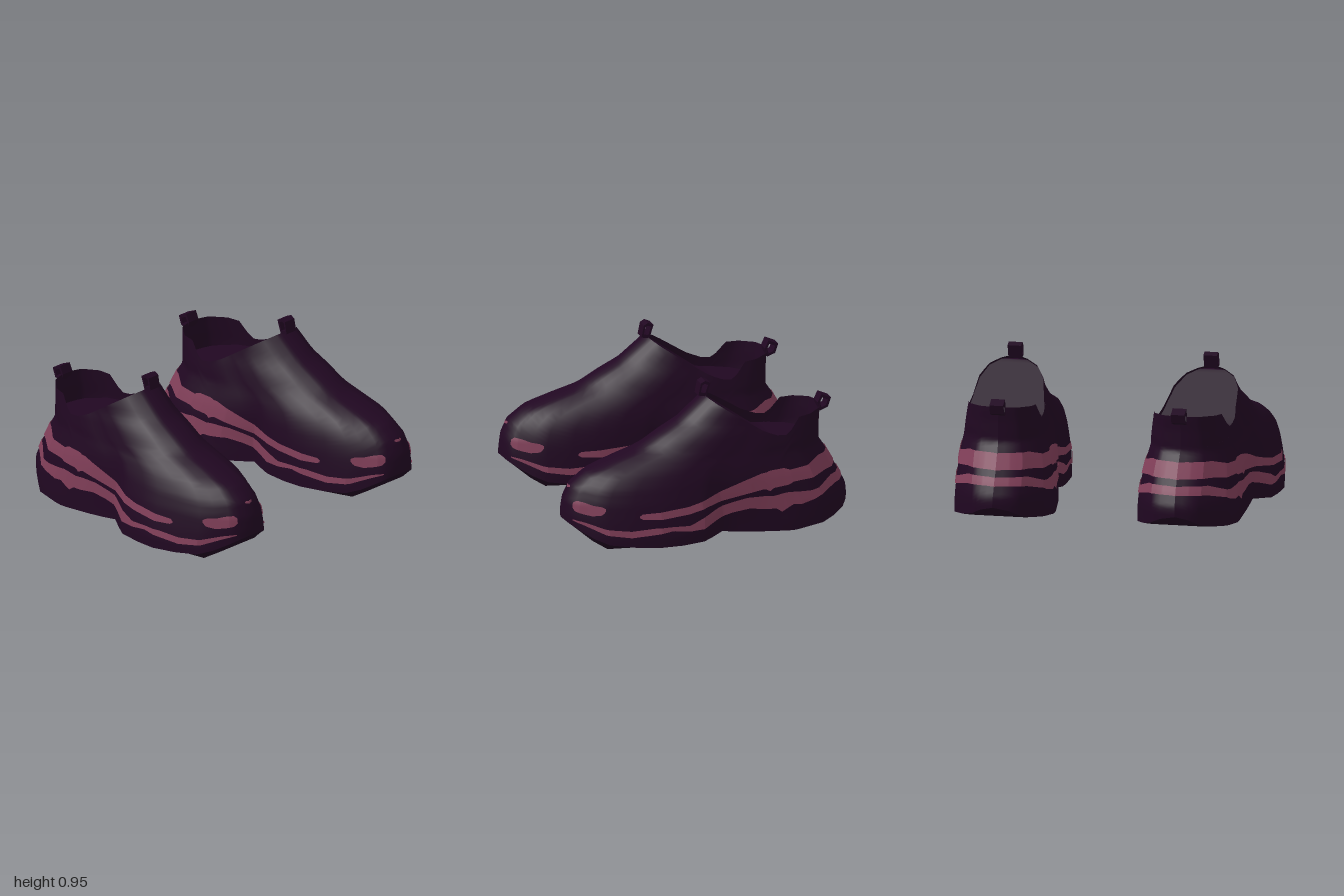
import * as THREE from 'three';

const upperMat = new THREE.MeshStandardMaterial({ color: 0x200721, side: THREE.DoubleSide });
upperMat.name = 'dark plum';
const stripeMat = new THREE.MeshStandardMaterial({ color: 0x803e58, side: THREE.DoubleSide });
stripeMat.name = 'dusty rose';

// Linear interpolation in a table of rows [key, value, value, ...]
function look(rows, k, c = 1) {
  if (k <= rows[0][0]) return rows[0][c];
  for (let i = 1; i < rows.length; i++) {
    const a = rows[i - 1], b = rows[i];
    if (k <= b[0]) return a[c] + (b[c] - a[c]) * (k - a[0]) / (b[0] - a[0]);
  }
  return rows[rows.length - 1][c];
}

// Plan shape, heel to toe: [fraction, sole outer x, sole inner x, upper half width factor]
const PLAN = [
  [0, .57, .57, 0], [.012, .65, .47, .3], [.03, .705, .41, .54], [.12, .85, .29, .88],
  [.2, .875, .26, .95], [.25, .88, .265, .97], [.36, .88, .29, 1], [.475, .88, .37, .97],
  [.55, .965, .335, .97], [.7, .99, .335, .93], [.87, .93, .40, .71], [.96, .82, .50, .4],
  [.985, .755, .55, .25], [1, .67, .67, 0],
];
// Levels: [height, heel z, toe z, upper half width, share of the sole outline]
const LEVELS = [
  [0, -.92, .92, .285, 1], [.08, -.92, .92, .285, 1], [.16, -.925, .92, .285, .85],
  [.2, -.92, .92, .285, .76], [.28, -.88, .91, .285, .56], [.37, -.83, .87, .28, .3],
  [.45, -.785, .77, .268, .1], [.51, -.745, .6, .257, 0], [.56, -.745, .44, .25, 0],
  [.64, -.745, .31, .236, 0], [.71, -.75, .18, .22, 0], [.86, -.75, 0, .205, 0],
];
// Wall's lower edge, tread, collar and inner lining heights along z
const EDGE = [[-.92, .14], [-.86, .08], [-.78, .055], [-.5, .018], [-.2, .035], [-.04, .055], [.05, .03],
  [.2, .015], [.5, .02], [.7, .045], [.8, .09], [.92, .17]];
const TREAD = [[-.92, .14], [-.86, .07], [-.8, .055], [-.5, .012], [-.2, .03], [-.04, .045], [.05, .02],
  [.2, .008], [.71, 0], [.8, .08], [.92, .17]];
const RIM = [[-.75, .73], [-.55, .71], [-.49, .61], [-.42, .615], [-.33, .65], [0, .86]];
const LINING = [[-.75, .53], [-.38, .56], [0, .84]];

const axisX = z => .565 + .065 * (z + .78);
const zAt = (t, y) => {
  const a = look(LEVELS, y, 1);
  return a + (look(LEVELS, y, 2) - a) * t;
};

// Point on the shoe wall: fraction t, side s (1 outer, -1 inner), height y
function wallPoint(t, s, y) {
  const z = zAt(t, y), blend = look(LEVELS, y, 4);
  const sole = look(PLAN, t, s > 0 ? 1 : 2);
  const upper = axisX(z) + s * look(PLAN, t, 3) * look(LEVELS, y, 3);
  return new THREE.Vector3(upper + (sole - upper) * blend, y, z);
}

// Height where a column of the wall meets a height curve along z
function meetHeight(curve, t) {
  let lo = .4, hi = .9;
  for (let i = 0; i < 30; i++) {
    const y = (lo + hi) / 2;
    if (look(curve, zAt(t, y)) > y) lo = y; else hi = y;
  }
  return lo;
}
const edgeHeight = t => look(EDGE, zAt(t, .08));

// Mesh from columns of points; m = -1 mirrors it to the other foot
function sheet(name, cols, m, material, flip = false) {
  const n = cols[0].length, pos = [], index = [];
  cols.forEach(c => c.forEach(p => pos.push(p.x * m, p.y, p.z)));
  for (let i = 0; i < cols.length - 1; i++) {
    for (let j = 0; j < n - 1; j++) {
      const a = i * n + j, b = a + 1, c = a + n, d = c + 1;
      if ((m < 0) !== flip) index.push(a, c, b, b, c, d);
      else index.push(a, b, c, b, d, c);
    }
  }
  const g = new THREE.BufferGeometry();
  g.setAttribute('position', new THREE.Float32BufferAttribute(pos, 3));
  g.setIndex(index);
  g.computeVertexNormals();
  const mesh = new THREE.Mesh(g, material);
  mesh.name = name;
  return mesh;
}

// Fractions of all columns, with one midpoint between plan points
const TS = PLAN.flatMap((r, i) => i ? [(PLAN[i - 1][0] + r[0]) / 2, r[0]] : [r[0]]);

// Painted bands: [fraction, low edge, high edge]
const BANDS = {
  upperStripe: [[0, .355, .45], [.06, .35, .445], [.13, .33, .41], [.2, .325, .4], [.22, .31, .415],
    [.28, .3, .41], [.295, .28, .4], [.31, .3, .4], [.38, .28, .365], [.46, .255, .32], [.53, .232, .28],
    [.6, .205, .25], [.7, .19, .235], [.76, .195, .228], [.77, .205, .215]],
  lowerStripe: [[0, .265, .315], [.05, .255, .31], [.12, .22, .265], [.15, .2, .255], [.2, .18, .26],
    [.23, .185, .265], [.255, .16, .26], [.27, .145, .255], [.29, .17, .25], [.32, .17, .255],
    [.38, .185, .255], [.44, .17, .235], [.5, .14, .208], [.55, .105, .175], [.6, .1, .135],
    [.66, .115, .14], [.72, .1, .14], [.8, .085, .125], [.88, .105, .14], [.95, .16, .178], [.975, .177, .184]],
  toePatch: [[.88, .25, .265], [.89, .225, .275], [.92, .215, .28], [.95, .225, .295],
    [.97, .235, .3], [.977, .255, .285]],
  toeDot: [[.995, .362, .367], [.9965, .358, .371], [1, .358, .371]],
};

// Thin painted strip lying just over the wall
function band(name, rows, s, m) {
  const t0 = rows[0][0], t1 = rows[rows.length - 1][0];
  const steps = Math.ceil((t1 - t0) * 90) + 6;
  const even = Array.from({ length: steps + 1 }, (_, i) => t0 + (t1 - t0) * i / steps);
  const ts = [...new Set([...even, ...TS.filter(t => t > t0 && t < t1)])].sort((a, b) => a - b);
  const cols = ts.map(t => {
    const lo = look(rows, t, 1), hi = look(rows, t, 2);
    const ta = Math.max(0, t - .01), tb = Math.min(1, t + .01), col = [];
    for (let j = 0; j <= 5; j++) {
      const y = lo + (hi - lo) * j / 5;
      const up = wallPoint(t, s, y + .01).sub(wallPoint(t, s, y - .01));
      const along = wallPoint(tb, s, y).sub(wallPoint(ta, s, y));
      const out = up.cross(along).normalize().multiplyScalar(s * .006);
      if (t === 0 || t === 1) out.set(0, 0, t ? .006 : -.006);
      col.push(wallPoint(t, s, y).add(out));
    }
    return col;
  });
  return sheet(name, cols, m, stripeMat, s < 0);
}

// Hollow pull loop from a five-sided outline in z and y
function pullLoop(name, pts, x) {
  const v = pts.map(p => new THREE.Vector2(...p));
  const mid = v.reduce((a, p) => a.add(p), new THREE.Vector2()).divideScalar(v.length);
  const shape = new THREE.Shape(v);
  shape.holes.push(new THREE.Path(v.map(p => p.clone().lerp(mid, .4))));
  const g = new THREE.ExtrudeGeometry(shape, { depth: .085, bevelEnabled: false });
  g.rotateY(-Math.PI / 2).translate(x + .0425, 0, 0);
  const mesh = new THREE.Mesh(g, upperMat);
  mesh.name = name;
  return mesh;
}

function shoe(name, m) {
  const group = new THREE.Group();
  group.name = name;
  // Wall from sole edge to collar, round the outer side and back along the inner side
  const column = (t, s) => {
    const y0 = edgeHeight(t), y1 = meetHeight(RIM, t);
    return Array.from({ length: 33 }, (_, k) => wallPoint(t, s, y0 + (y1 - y0) * k / 32));
  };
  const around = [...TS.map(t => column(t, 1)), ...TS.slice(0, -1).reverse().map(t => column(t, -1))];
  group.add(sheet('upper', around, m, upperMat));
  // Tread and inner lining span the two sides; the tread dips inside its edges
  const across = (t, y) => {
    const a = wallPoint(t, 1, y), b = wallPoint(t, -1, y);
    return [0, .12, .5, .88, 1].map(k => a.clone().lerp(b, k));
  };
  const treadRow = t => {
    const row = across(t, edgeHeight(t));
    row.slice(1, 4).forEach(p => { p.y = look(TREAD, p.z); });
    return row;
  };
  group.add(sheet('tread', TS.map(treadRow), m, upperMat, true));
  group.add(sheet('lining', TS.map(t => across(t, meetHeight(LINING, t))), m, upperMat));
  // Painted bands on both sides
  for (const [key, rows] of Object.entries(BANDS))
    for (const s of [1, -1]) group.add(band(key + (s > 0 ? 'Outer' : 'Inner'), rows, s, m));
  // Pull loops at tongue and heel
  group.add(pullLoop('tonguePullLoop',
    [[-.005, .95], [-.04, .935], [-.012, .85], [.037, .86], [.022, .935]], m * .61));
  group.add(pullLoop('heelPullLoop',
    [[-.758, .783], [-.82, .757], [-.8, .7], [-.75, .68], [-.735, .733]], m * .565));
  return group;
}

export function createModel() {
  const model = new THREE.Group();
  model.name = 'pairOfShoes';
  model.add(shoe('leftShoe', 1), shoe('rightShoe', -1));
  return model;
}
